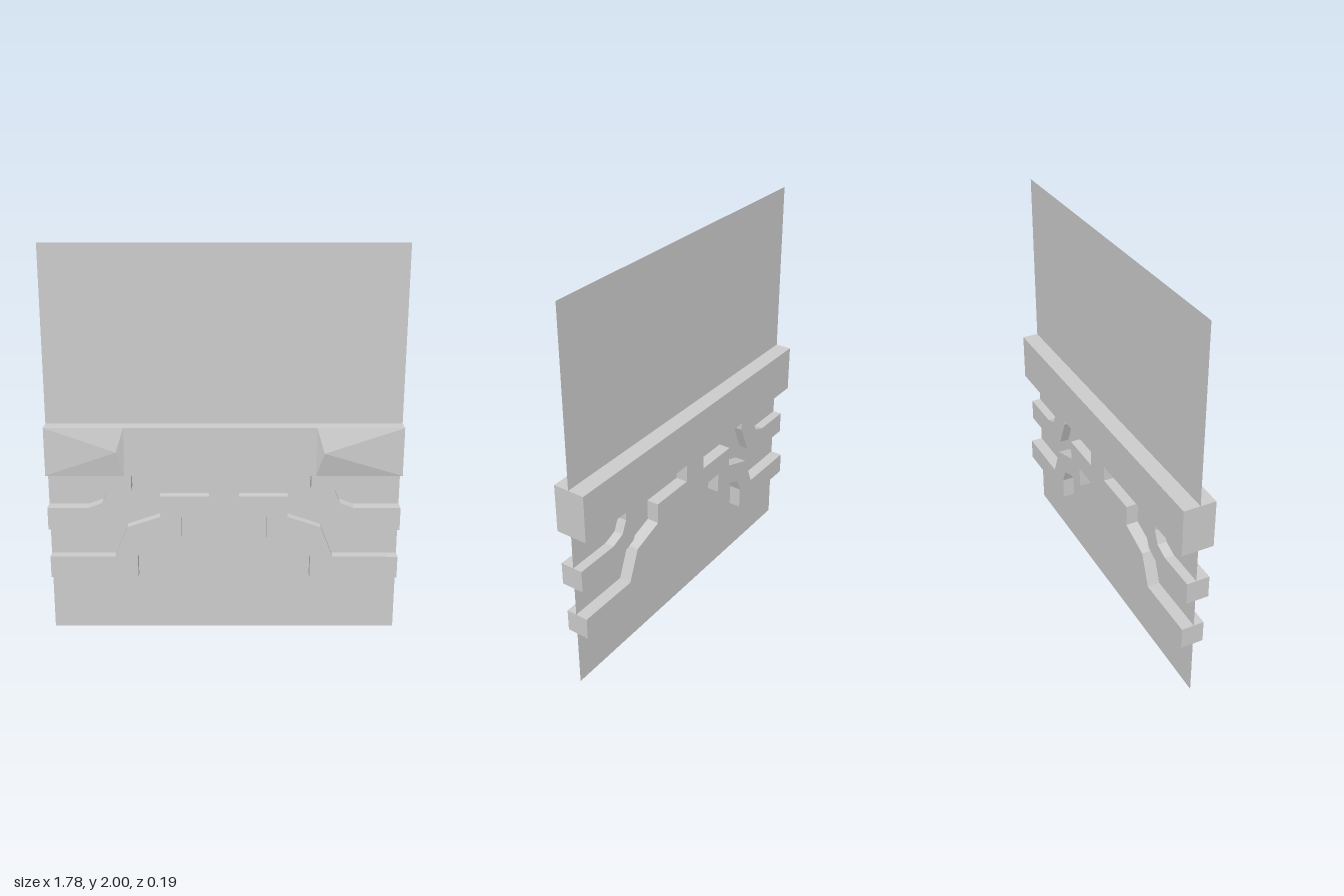
import * as THREE from 'three';

const HALF = 0.888; // half width of the panel
const BEAM_LOW = 0.863, BEAM_HIGH = 1.11, BEAM_BACK = -0.096, BEAM_FRONT = 0.068;

export function createModel() {
  const group = new THREE.Group();
  const material = new THREE.MeshStandardMaterial({ color: 0xcccccc, flatShading: true });
  const sheetMaterial = new THREE.MeshStandardMaterial({ color: 0xcccccc, side: THREE.DoubleSide });

  const add = (name, geometry, mat = material) => {
    const mesh = new THREE.Mesh(geometry, mat);
    mesh.name = name;
    group.add(mesh);
    return mesh;
  };

  // Extrude an outline from the back depth to the front depth
  const slab = (name, points, back, front) => {
    const shape = new THREE.Shape(points.map(([x, y]) => new THREE.Vector2(x, y)));
    const geometry = new THREE.ExtrudeGeometry(shape, { depth: front - back, bevelEnabled: false });
    add(name, geometry.translate(0, 0, back));
  };

  // Thin upright panel running through the trim
  add('panel', new THREE.PlaneGeometry(2 * HALF, 2), sheetMaterial).position.set(0, 1, -0.012);

  // Horizontal beam
  const beam = new THREE.BoxGeometry(2 * HALF, BEAM_HIGH - BEAM_LOW, BEAM_FRONT - BEAM_BACK);
  add('beam', beam).position.set(0, (BEAM_LOW + BEAM_HIGH) / 2, (BEAM_FRONT + BEAM_BACK) / 2);

  // Off-centre faceted boss on the beam front
  const boss = (name, x0, x1, apex) => {
    const corners = [[x0, BEAM_LOW], [x1, BEAM_LOW], [x1, BEAM_HIGH], [x0, BEAM_HIGH]];
    const positions = [];
    corners.forEach((a, i) => {
      const b = corners[(i + 1) % 4];
      positions.push(...a, BEAM_FRONT, ...b, BEAM_FRONT, ...apex);
    });
    const geometry = new THREE.BufferGeometry();
    geometry.setAttribute('position', new THREE.Float32BufferAttribute(positions, 3));
    geometry.computeVertexNormals();
    add(name, geometry);
  };
  boss('rightBoss', -HALF, -0.495, [-0.532, 0.99, 0.087]);
  boss('leftBoss', 0.458, HALF, [0.495, 0.987, 0.096]);

  // Stepped arch with a short central post, mirrored about the middle
  const archTop = [
    [0.075, BEAM_LOW], [0.075, 0.745], [0.322, 0.745], [0.322, 0.635],
    [0.49, 0.578], [0.555, 0.417], [HALF, 0.417],
  ];
  const archBottom = [
    [HALF, 0.302], [0.44, 0.302], [0.44, 0.417], [0.41, 0.49],
    [0.32, 0.523], [0.218, 0.523], [0.218, 0.635],
  ];
  const half = [...archTop, ...archBottom];
  const mirrored = half.map(([x, y]) => [-x, y]).reverse();
  slab('steppedArch', [...half, ...mirrored], -0.075, 0.041);

  // Curved brackets from the beam to each side, set slightly off centre
  const bracket = [
    [0.45, BEAM_LOW], [0.45, 0.783], [0.513, 0.635], [0.668, 0.571], [null, 0.571],
    [null, 0.688], [0.668, 0.688], [0.597, 0.715], [0.568, 0.78], [0.568, BEAM_LOW],
  ];
  for (const [name, side] of [['leftBracket', 1], ['rightBracket', -1]]) {
    const outline = bracket.map(([x, y]) => [x === null ? side * HALF : side * x - 0.014, y]);
    slab(name, outline, -0.06, 0.057);
  }

  return group;
}
